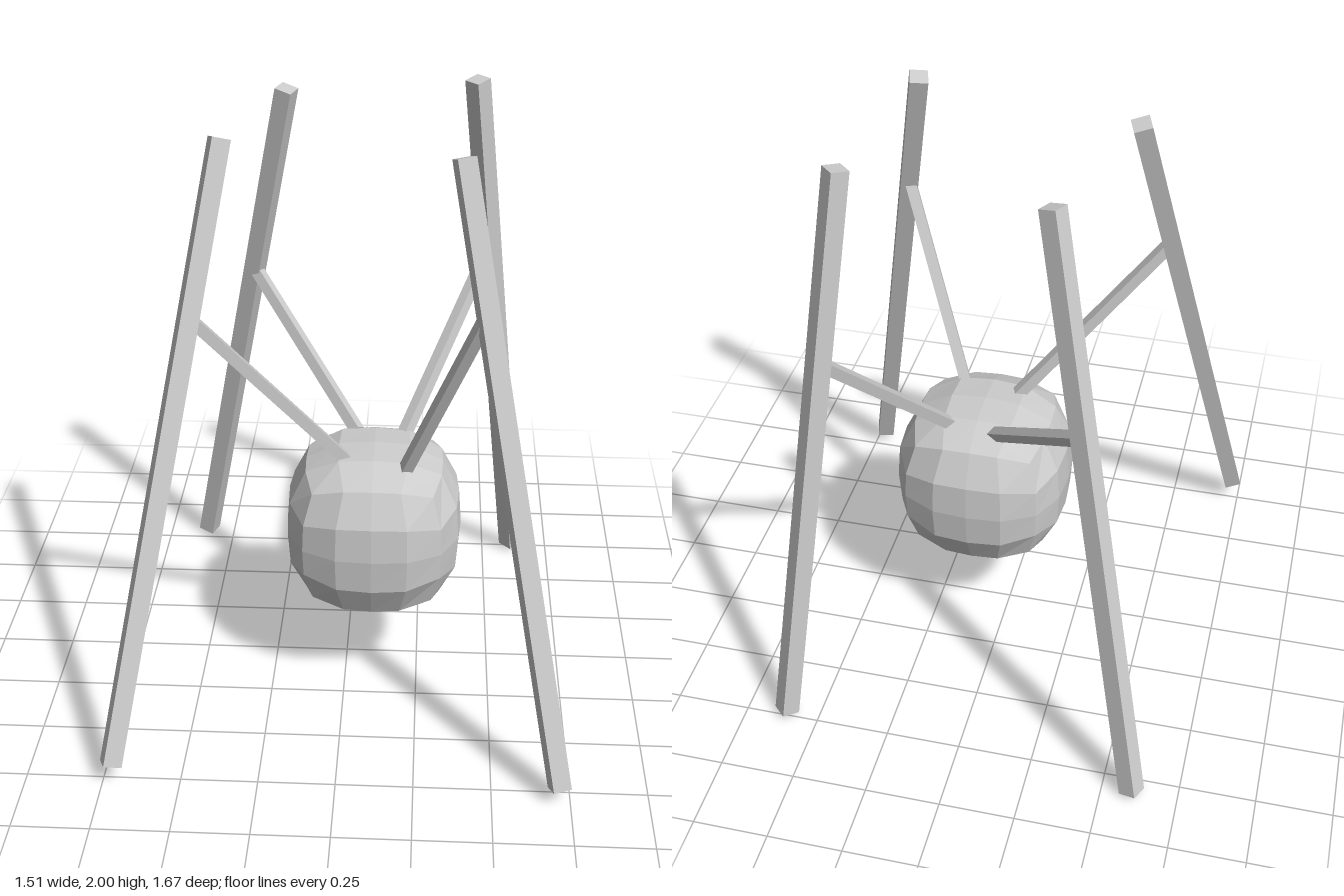
import * as THREE from 'three';

const material = new THREE.MeshStandardMaterial({ color: 0xcccccc, flatShading: true });

// Square bar between two points, rolled about its own axis
function bar(name, from, to, width, rollDegrees) {
  const a = new THREE.Vector3(...from);
  const b = new THREE.Vector3(...to);
  const direction = b.clone().sub(a);
  const length = direction.length();
  const geometry = new THREE.BoxGeometry(width, length, width);
  geometry.rotateY(THREE.MathUtils.degToRad(rollDegrees));
  const mesh = new THREE.Mesh(geometry, material);
  mesh.name = name;
  mesh.quaternion.setFromUnitVectors(new THREE.Vector3(0, 1, 0), direction.normalize());
  mesh.position.copy(a).add(b).multiplyScalar(0.5);
  return mesh;
}

// Cube grid inflated to a shape between a ball and a cube
function bodyGeometry(radius, power, divisions) {
  const geometry = new THREE.BoxGeometry(2, 2, 2, divisions, divisions, divisions);
  const position = geometry.attributes.position;
  const p = new THREE.Vector3();
  const spread = (v) => Math.tan((v * Math.PI) / 4);
  for (let i = 0; i < position.count; i++) {
    p.fromBufferAttribute(position, i);
    p.set(spread(p.x), spread(p.y), spread(p.z));
    const sum = Math.abs(p.x) ** power + Math.abs(p.y) ** power + Math.abs(p.z) ** power;
    p.multiplyScalar(radius / sum ** (1 / power));
    position.setXYZ(i, p.x, p.y, p.z);
  }
  geometry.computeVertexNormals();
  return geometry;
}

// Each leg: foot, top, roll, height where its arm joins, and the arm's end on the body
const legs = [
  { side: 'frontRight', foot: [-0.72, 0.07, 0.77], top: [-0.385, 1.95, 0.11], roll: 19, joint: 1.43, root: [0.01, 0.84, 0.115] },
  { side: 'frontLeft', foot: [0.715, 0.05, 0.79], top: [0.36, 1.95, 0.26], roll: 17, joint: 1.5, root: [0.2, 0.84, 0.165] },
  { side: 'backRight', foot: [-0.6, 0.012, -0.81], top: [-0.225, 1.95, -0.43], roll: -22, joint: 1.25, root: [0.03, 0.84, -0.105] },
  { side: 'backLeft', foot: [0.61, 0.02, -0.74], top: [0.41, 1.99, -0.43], roll: 45, joint: 1.36, root: [0.19, 0.84, -0.08] },
];

export function createModel() {
  const model = new THREE.Group();
  model.name = 'fourLeggedWalker';

  const body = new THREE.Mesh(bodyGeometry(0.297, 2.75, 4), material);
  body.name = 'body';
  body.position.set(0.095, 0.58, 0.04);
  model.add(body);

  for (const { side, foot, top, roll, joint, root } of legs) {
    const t = (joint - foot[1]) / (top[1] - foot[1]);
    const elbow = foot.map((v, i) => v + (top[i] - v) * t);
    model.add(bar(side + 'Leg', foot, top, 0.06, roll));
    model.add(bar(side + 'Arm', root, elbow, 0.037, roll));
  }
  return model;
}
